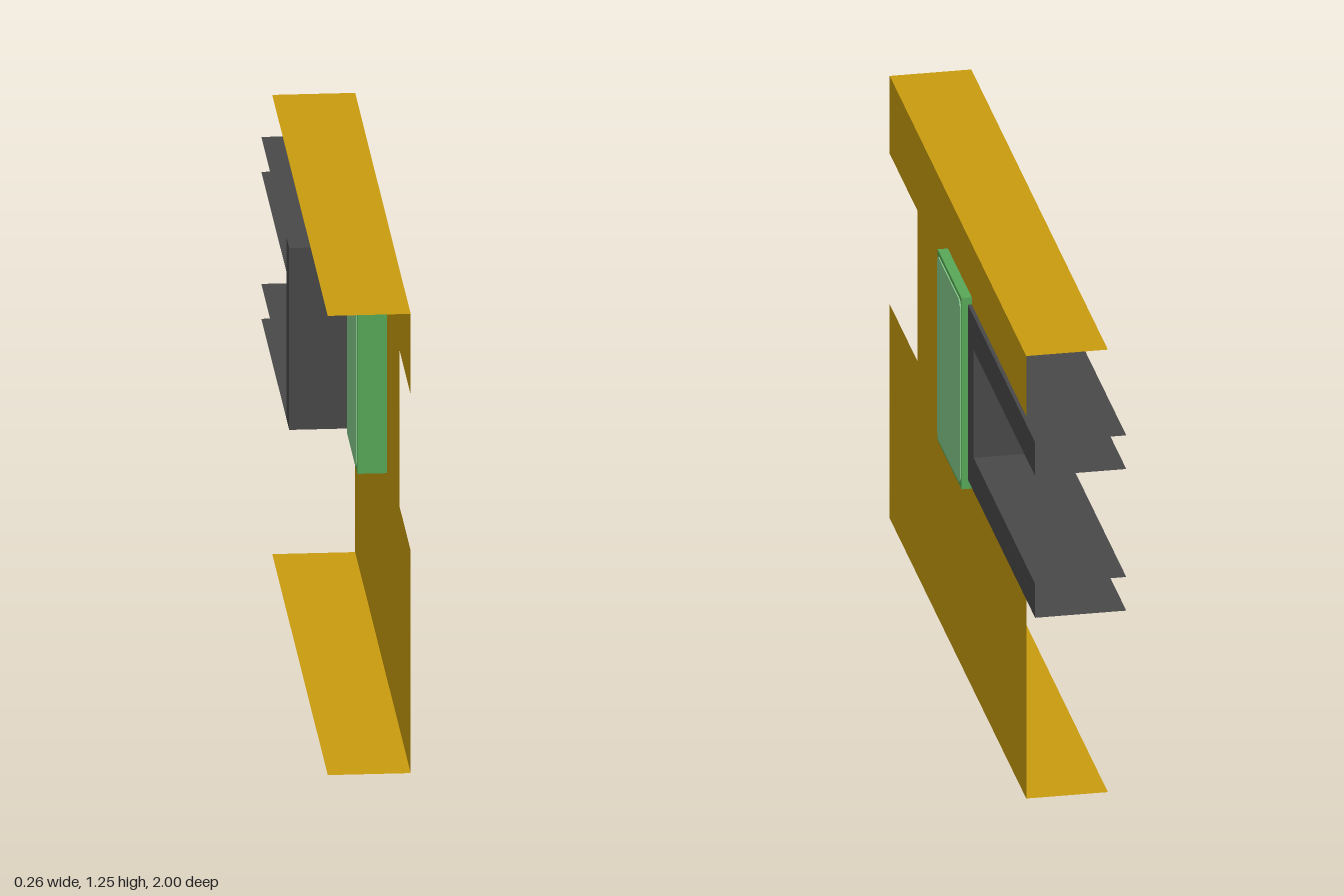
import * as THREE from 'three';

export function createModel() {
  const model = new THREE.Group();
  const material = (name, color, side = THREE.DoubleSide) => {
    const m = new THREE.MeshStandardMaterial({ color, side });
    m.name = name;
    return m;
  };
  const gold = material('gold sheet', 0xc89b0e);
  const grey = material('dark grey sheet', 0x484848);
  const green = material('green rim', 0x58a858, THREE.FrontSide);
  const paleGreen = material('pale green face', 0x84ca88, THREE.FrontSide);

  const add = (parent, name, geometry, mat) => {
    const mesh = new THREE.Mesh(geometry, mat);
    mesh.name = name;
    parent.add(mesh);
    return mesh;
  };
  const group = (name) => {
    const g = new THREE.Group();
    g.name = name;
    model.add(g);
    return g;
  };
  // Upright sheet at a given x, outlined by [z, y] corners
  const sideSheet = (parent, name, x, corners, mat) => {
    const shape = new THREE.Shape(corners.map(([z, y]) => new THREE.Vector2(z, y)));
    add(parent, name, new THREE.ShapeGeometry(shape).rotateY(-Math.PI / 2).translate(x, 0, 0), mat);
  };
  // Level sheet at a given y
  const levelSheet = (parent, name, y, x0, x1, z0, z1, mat) =>
    add(parent, name, new THREE.PlaneGeometry(x1 - x0, z1 - z0).rotateX(-Math.PI / 2)
      .translate((x0 + x1) / 2, y, (z0 + z1) / 2), mat);
  // Sheet facing front and back at a given z
  const crossSheet = (parent, name, z, x0, x1, y0, y1, mat) =>
    add(parent, name, new THREE.PlaneGeometry(x1 - x0, y1 - y0)
      .translate((x0 + x1) / 2, (y0 + y1) / 2, z), mat);

  // Main channel: notched web with a flange above and below
  const channel = group('mainChannel');
  sideSheet(channel, 'channelWeb', 0.1, [
    [1, 0], [1, 0.605], [0.625, 0.605], [0.625, 1.03], [1, 1.03], [1, 1.25],
    [-0.83, 1.25], [-0.83, 1.08], [-0.08, 1.08], [-0.08, 0.585], [-0.83, 0.585], [-0.83, 0],
  ], gold);
  levelSheet(channel, 'bottomFlange', 0, -0.115, 0.1, -0.83, 1, gold);
  levelSheet(channel, 'topFlange', 1.25, -0.115, 0.1, -0.83, 1, gold);

  // Fork: two open channel arms joined by a closed upright
  const fork = group('fork');
  const [x0, x1, yLow, yHigh, front, inner] = [-0.13, 0.11, 0.585, 1.08, -0.08, -0.175];
  sideSheet(fork, 'forkWeb', x1, [
    [front, yLow], [front, yHigh], [-1, yHigh], [-1, 0.985],
    [inner, 0.985], [inner, 0.68], [-1, 0.68], [-1, yLow],
  ], grey);
  levelSheet(fork, 'upperArmTop', yHigh, x0, x1, -1, front, grey);
  levelSheet(fork, 'upperArmBottom', 0.985, x0, x1, -1, inner, grey);
  levelSheet(fork, 'lowerArmTop', 0.68, x0, x1, -1, inner, grey);
  levelSheet(fork, 'lowerArmBottom', yLow, x0, x1, -1, front, grey);
  crossSheet(fork, 'uprightBack', inner, x0, x1, 0.68, 0.985, grey);
  crossSheet(fork, 'uprightFront', front, x0, x1, yLow, yHigh, grey);
  sideSheet(fork, 'uprightSide', x0,
    [[front, yLow], [front, yHigh], [inner, yHigh], [inner, yLow]], grey);

  // Block through the web, with a rounded pale face on each side
  const block = group('block');
  add(block, 'blockBody', new THREE.BoxGeometry(0.104, 0.54, 0.32), green)
    .position.set(0.075, 0.83, 0.06);
  const w = 0.152, h = 0.258, r = 0.02;
  const face = new THREE.Shape();
  face.absarc(w - r, h - r, r, 0, Math.PI / 2);
  face.absarc(r - w, h - r, r, Math.PI / 2, Math.PI);
  face.absarc(r - w, r - h, r, Math.PI, Math.PI * 1.5);
  face.absarc(w - r, r - h, r, Math.PI * 1.5, Math.PI * 2);
  const faceGeometry = new THREE.ExtrudeGeometry(face, { depth: 0.003, bevelEnabled: false, curveSegments: 5 });
  for (const s of [1, -1]) {
    const plate = add(block, s > 0 ? 'leftFace' : 'rightFace', faceGeometry, paleGreen);
    plate.rotation.y = s * Math.PI / 2;
    plate.position.set(0.075 + s * 0.052, 0.83, 0.06);
  }
  return model;
}
